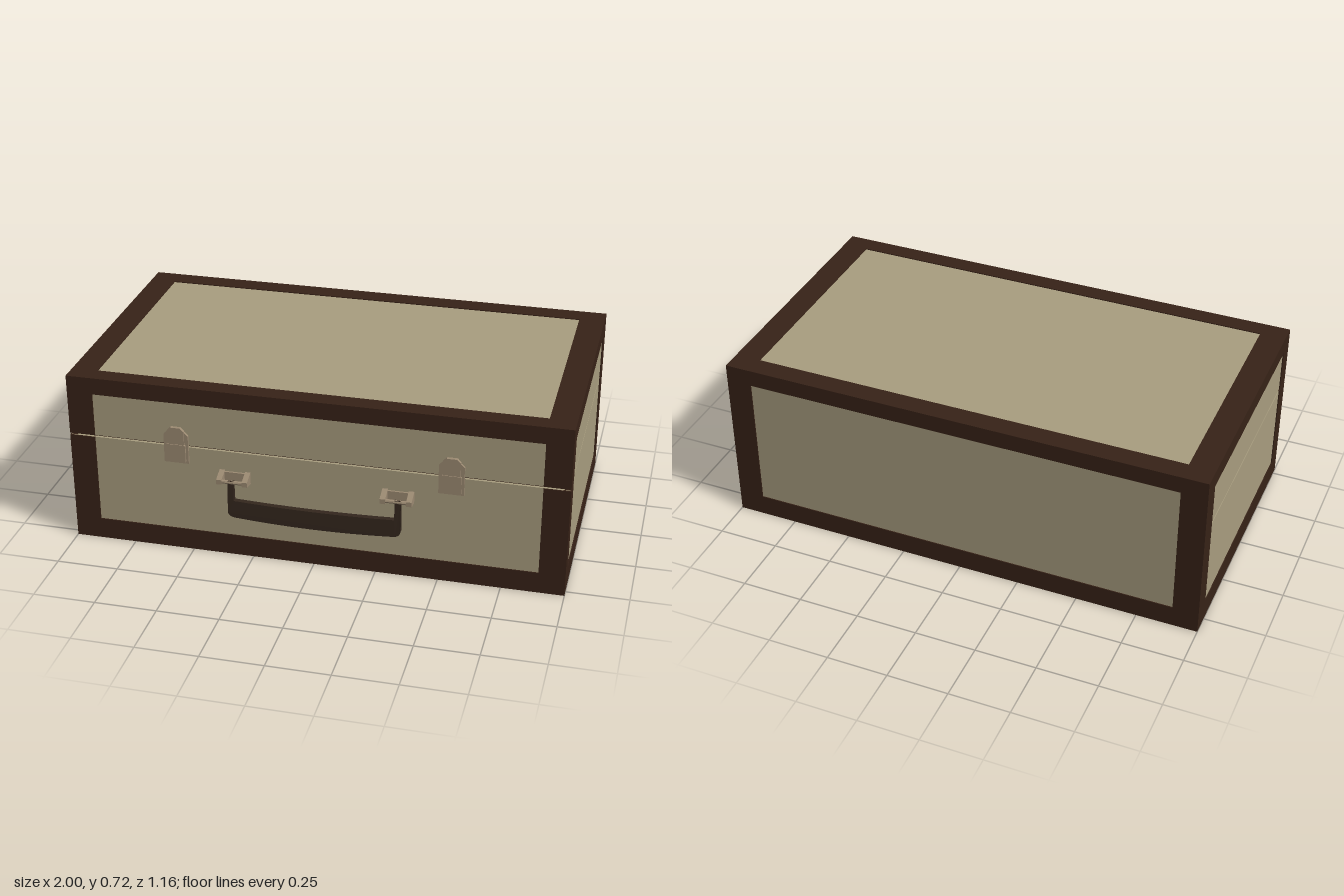
import * as THREE from 'three';

const mat = (color) => new THREE.MeshStandardMaterial({ color, flatShading: true });

export function createModel() {
  const suitcase = new THREE.Group();
  suitcase.name = 'suitcase';
  const cloth = mat(0xa89d7f), leather = mat(0x372217), metal = mat(0x9c8a72), grip = mat(0x33261d);

  const add = (name, geometry, material, parent = suitcase) => {
    const mesh = new THREE.Mesh(geometry, material);
    mesh.name = name;
    parent.add(mesh);
    return mesh;
  };
  // box given by its limits on each axis
  const box = (name, [x0, x1], [y0, y1], [z0, z1], material, parent) =>
    add(name, new THREE.BoxGeometry(x1 - x0, y1 - y0, z1 - z0)
      .translate((x0 + x1) / 2, (y0 + y1) / 2, (z0 + z1) / 2), material, parent);

  const H = 0.72, F = 0.53, B = -0.58, seam = [0.461, 0.469], inset = 0.004;

  // cloth-covered halves, joined by a recessed core and an unbroken back panel
  box('lowerCase', [-0.996, 0.996], [inset, seam[0]], [-0.57, F - inset], cloth);
  box('lid', [-0.996, 0.996], [seam[1], H - inset], [-0.57, F - inset], cloth);
  box('seamCore', [-0.985, 0.985], seam, [-0.57, F - 0.015], leather);
  box('backPanel', [-0.996, 0.996], [inset, H - inset], [B + inset, -0.57], cloth);

  // leather edging along all twelve edges
  const zFront = [0.455, F], zBack = [B, -0.495];
  for (const [name, y] of [['bottom', [0, 0.088]], ['top', [0.65, H]]]) {
    box(name + 'FrontEdge', [-1, 1], y, zFront, leather);
    box(name + 'BackEdge', [-1, 1], y, zBack, leather);
    for (const x of [[-1, -0.895], [0.895, 1]])
      box(name + 'SideEdge', x, y, [zBack[1], zFront[0]], leather);
  }
  for (const x of [[-1, -0.895], [0.895, 1]]) {
    box('lowerFrontCorner', x, [0.088, seam[0]], zFront, leather);
    box('upperFrontCorner', x, [seam[1], 0.65], zFront, leather);
    box('backCorner', x, [0.088, 0.65], zBack, leather);
  }

  // plate with cut corners, drawn in x-y and given a depth
  const plate = (w, y0, y1, c, depth) => {
    const s = new THREE.Shape([
      [-w, y0], [w, y0], [w, y1 - c], [w - c, y1], [-w + c, y1], [-w, y1 - c],
    ].map(([x, y]) => new THREE.Vector2(x, y)));
    return new THREE.ExtrudeGeometry(s, { depth, bevelEnabled: false });
  };

  // two latches across the seam
  for (const x of [-0.555, 0.545]) {
    const latch = new THREE.Group();
    latch.name = 'latch';
    latch.position.set(x, 0, F - inset);
    add('latchPlate', plate(0.05, 0.392, 0.528, 0.015, 0.009), metal, latch);
    add('latchHasp', plate(0.035, 0.475, 0.547, 0.015, 0.014), metal, latch);
    add('latchFlap', plate(0.04, 0.402, 0.475, 0.004, 0.017), metal, latch);
    suitcase.add(latch);
  }

  // handle brackets: base, two tapered lugs and a pin
  const lugShape = new THREE.Shape([[0, 0.33], [0.052, 0.34], [0.052, 0.36], [0, 0.38]]
    .map(([x, y]) => new THREE.Vector2(x, y)));
  for (const x of [-0.318, 0.338]) {
    const bracket = new THREE.Group();
    bracket.name = 'handleBracket';
    bracket.position.set(x, 0, F - inset);
    box('bracketBase', [-0.06, 0.06], [0.335, 0.375], [0, 0.008], metal, bracket);
    for (const lx of [-0.052, 0.052]) {
      const lug = add('bracketLug', new THREE.ExtrudeGeometry(lugShape, { depth: 0.022, bevelEnabled: false })
        .translate(0, 0, -0.011).rotateY(-Math.PI / 2), metal, bracket);
      lug.position.x = lx;
    }
    add('bracketPin', new THREE.CylinderGeometry(0.008, 0.008, 0.12, 8)
      .rotateZ(Math.PI / 2).translate(0, 0.351, 0.044), metal, bracket);
    suitcase.add(bracket);
  }

  // hanging handle with a slightly sagging grip, thinner towards the pins
  const s = new THREE.Shape();
  s.moveTo(-0.347, 0.358);
  s.lineTo(-0.347, 0.225);
  s.quadraticCurveTo(-0.345, 0.205, -0.32, 0.202);
  s.quadraticCurveTo(0, 0.178, 0.32, 0.202);
  s.quadraticCurveTo(0.345, 0.205, 0.347, 0.225);
  s.lineTo(0.347, 0.358);
  s.lineTo(0.322, 0.358);
  s.lineTo(0.322, 0.275);
  s.quadraticCurveTo(0, 0.26, -0.322, 0.275);
  s.lineTo(-0.322, 0.358);
  const handle = new THREE.ExtrudeGeometry(s, { depth: 0.026, bevelEnabled: false, curveSegments: 8 })
    .translate(0.012, 0, -0.013);
  const p = handle.attributes.position;
  for (let i = 0; i < p.count; i++) {
    const t = THREE.MathUtils.clamp((p.getY(i) - 0.24) / 0.118, 0, 1);
    p.setZ(i, p.getZ(i) * (1 - 0.6 * t));
  }
  handle.computeVertexNormals();
  add('handle', handle, grip).position.z = 0.57;

  return suitcase;
}
